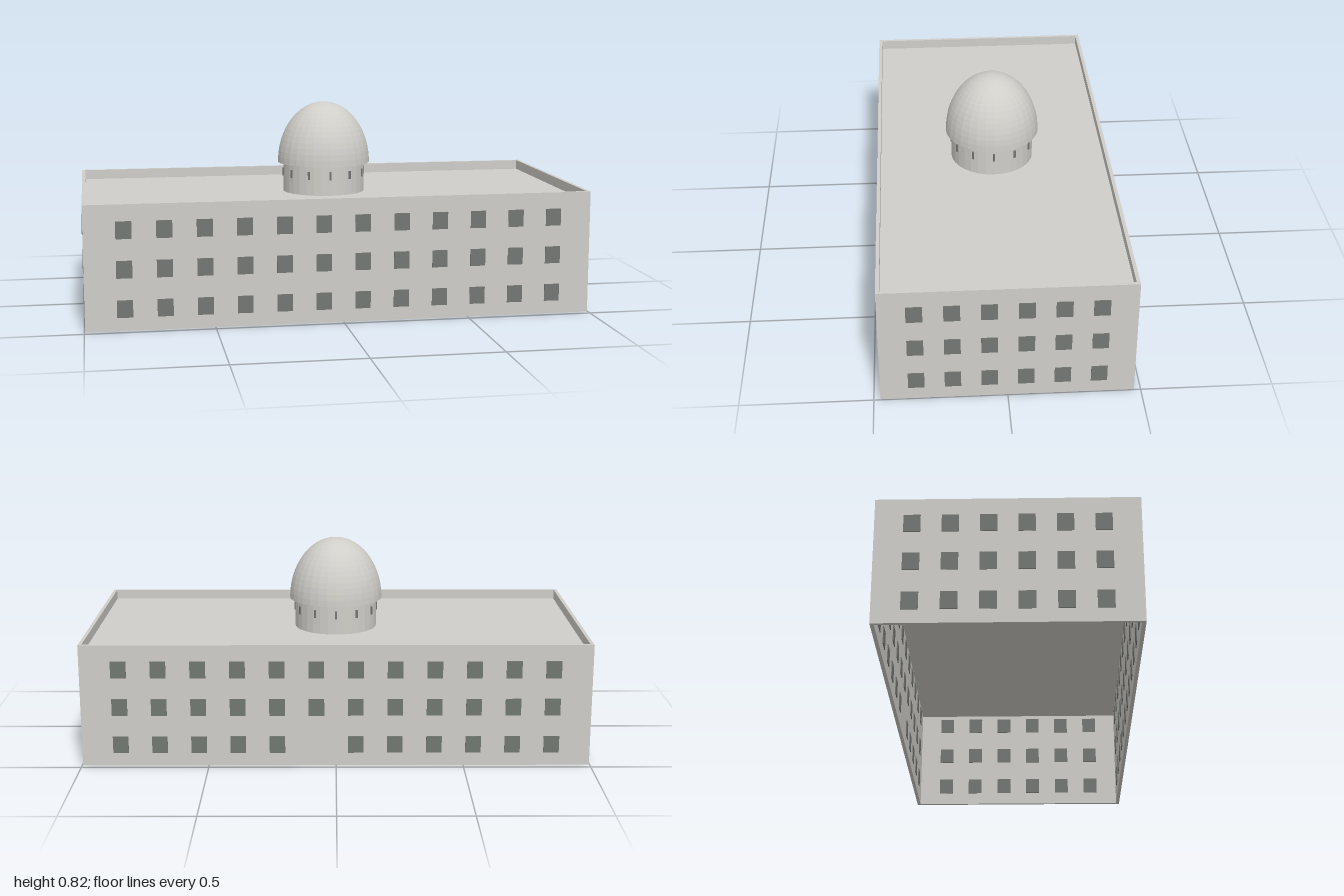
import * as THREE from 'three';

const stone = new THREE.MeshStandardMaterial({ color: 0xd0cec9, flatShading: true });
stone.name = 'pale stone';
const glass = new THREE.MeshStandardMaterial({ color: 0x737772 });
glass.name = 'grey glass';

const HX = 0.997, HZ = 0.475; // outer half sizes of the walls
const T = 0.014, H = 0.49; // wall thickness and height
const POKE = 0.003; // how far windows stand proud of both wall faces
const ROOF_Y = 0.45;

function add(parent, name, geometry, material, x = 0, y = 0, z = 0) {
  const mesh = new THREE.Mesh(geometry, material);
  mesh.name = name;
  mesh.position.set(x, y, z);
  parent.add(mesh);
  return mesh;
}

// One wall facing +z locally, with its grid of windows
function makeWall(name, length, columns, spacing, skip) {
  const wall = new THREE.Group();
  wall.name = name;
  add(wall, 'wallPanel', new THREE.BoxGeometry(length, H, T), stone, 0, H / 2, -T / 2);
  const pane = new THREE.BoxGeometry(0.061, 0.068, T + 2 * POKE);
  [0.086, 0.239, 0.391].forEach((y, row) => {
    for (let col = 0; col < columns; col++) {
      if (skip && skip(row, col)) continue;
      add(wall, 'window', pane, glass, (col - (columns - 1) / 2) * spacing, y, -T / 2);
    }
  });
  return wall;
}

export function createModel() {
  const model = new THREE.Group();
  model.name = 'domedBuilding';

  // Long walls; the back one has a blank bay on the ground floor
  const front = makeWall('frontWall', 2 * HX, 12, 0.1536);
  front.position.z = HZ;
  const back = makeWall('backWall', 2 * HX, 12, 0.1536, (row, col) => row === 0 && col === 5);
  back.position.z = -HZ;
  back.rotation.y = Math.PI;
  model.add(front, back);

  // Short walls fitted between the long ones
  for (const side of [-1, 1]) {
    const end = makeWall(side > 0 ? 'leftWall' : 'rightWall', 2 * (HZ - T), 6, 0.1362);
    end.position.x = side * HX;
    end.rotation.y = side * Math.PI / 2;
    model.add(end);
  }

  // Flat roof set below the parapet
  add(model, 'roof', new THREE.BoxGeometry(2 * (HX - T), 0.008, 2 * (HZ - T)), stone, 0, ROOF_Y - 0.004, 0);

  // Drum with twelve slit windows
  const drumH = 0.57 - ROOF_Y;
  add(model, 'drum', new THREE.CylinderGeometry(0.168, 0.168, drumH, 32), stone, 0, ROOF_Y + drumH / 2, 0);
  const slit = new THREE.BoxGeometry(0.008, 0.033, 0.01);
  for (let i = 0; i < 12; i++) {
    const a = i * Math.PI / 6;
    add(model, 'drumWindow', slit, glass, Math.sin(a) * 0.167, 0.531, Math.cos(a) * 0.167).rotation.y = a;
  }

  // Tall faceted dome with a closed underside
  const profile = [new THREE.Vector2(0, 0)];
  for (let i = 0; i <= 16; i++) {
    const a = i / 16 * Math.PI / 2;
    profile.push(new THREE.Vector2(i === 16 ? 0 : Math.cos(a) * 0.19, Math.sin(a) * 0.25));
  }
  add(model, 'dome', new THREE.LatheGeometry(profile, 32), stone, 0, 0.57, 0);

  return model;
}
